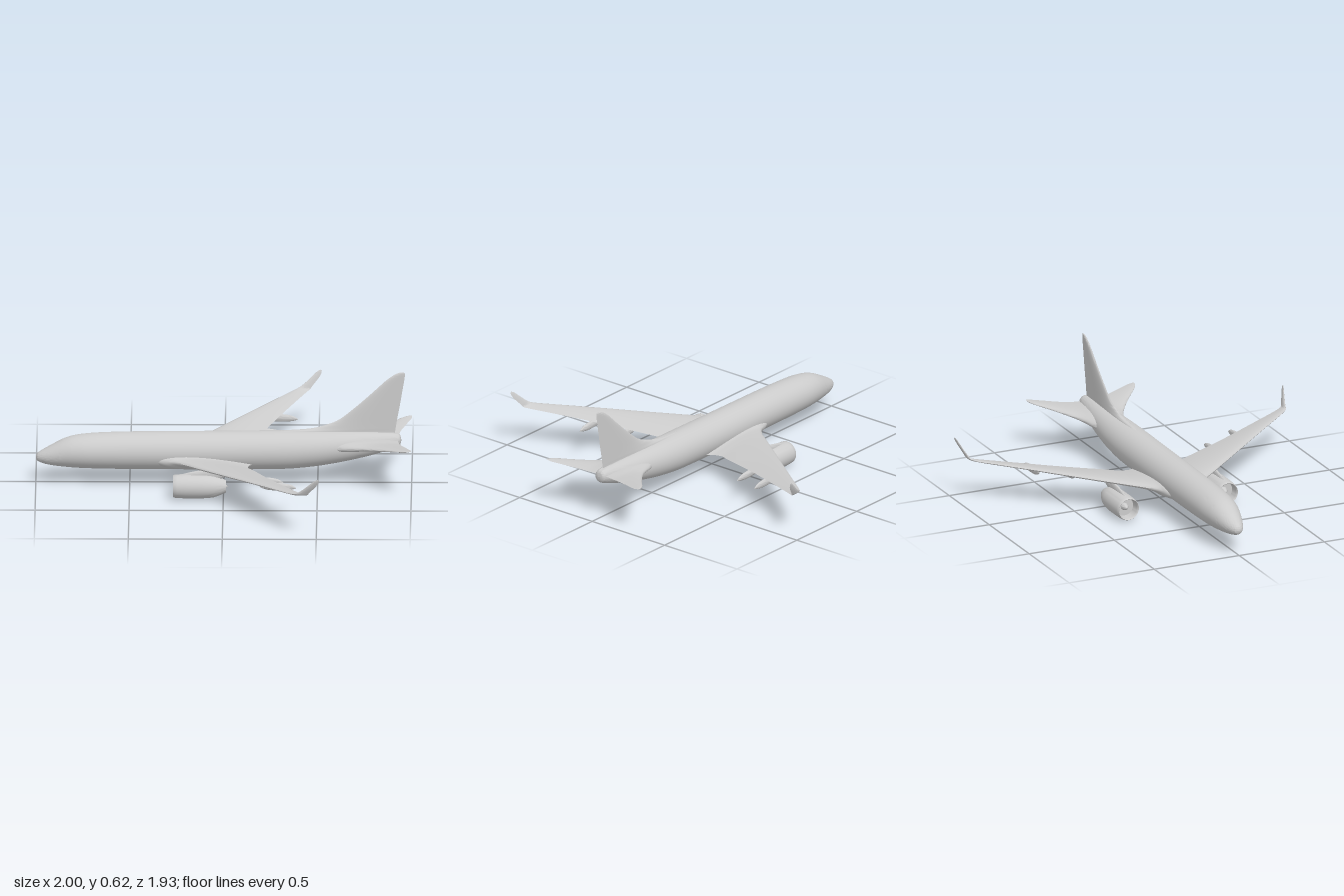
import * as THREE from 'three';
import { toCreasedNormals } from 'three/addons/utils/BufferGeometryUtils.js';

const material = new THREE.MeshStandardMaterial({ color: 0xcccccc, side: THREE.DoubleSide });

function mesh(name, geometry) {
  const m = new THREE.Mesh(geometry, material);
  m.name = name;
  return m;
}

// Monotone cubic refinement of a table of rows, column by column
function refine(rows, steps) {
  const slope = (i, k) => {
    const a = i > 0 ? rows[i][k] - rows[i - 1][k] : null;
    const b = i < rows.length - 1 ? rows[i + 1][k] - rows[i][k] : null;
    if (a === null) return b;
    if (b === null) return a;
    return a * b > 0 ? (2 * a * b) / (a + b) : 0;
  };
  const out = [];
  for (let i = 0; i < rows.length - 1; i++) {
    for (let s = 0; s < steps; s++) {
      const t = s / steps, t2 = t * t, t3 = t2 * t;
      out.push(rows[i].map((p, k) =>
        (2 * t3 - 3 * t2 + 1) * p + (t3 - 2 * t2 + t) * slope(i, k) +
        (3 * t2 - 2 * t3) * rows[i + 1][k] + (t3 - t2) * slope(i + 1, k)));
    }
  }
  out.push(rows[rows.length - 1]);
  return out;
}

// Skin a list of closed rings (arrays of Vector3), cap both ends, face outward
function loft(rings, crease = 0.9) {
  const n = rings[0].length, pts = rings.flat(), index = [];
  const centre = ring => ring.reduce((c, p) => c.add(p), new THREE.Vector3()).divideScalar(n);
  for (let i = 0; i < rings.length - 1; i++) {
    for (let j = 0; j < n; j++) {
      const a = i * n + j, b = i * n + (j + 1) % n;
      index.push(a, b, a + n, b, b + n, a + n);
    }
  }
  const first = pts.push(centre(rings[0])) - 1;
  const last = pts.push(centre(rings[rings.length - 1])) - 1;
  const base = (rings.length - 1) * n;
  for (let j = 0; j < n; j++) {
    const k = (j + 1) % n;
    index.push(first, k, j, last, base + j, base + k);
  }
  let volume = 0;
  const cross = new THREE.Vector3();
  for (let i = 0; i < index.length; i += 3) {
    volume += pts[index[i]].dot(cross.crossVectors(pts[index[i + 1]], pts[index[i + 2]]));
  }
  if (volume < 0) index.reverse();
  const geometry = new THREE.BufferGeometry().setFromPoints(pts);
  geometry.setIndex(index);
  return toCreasedNormals(geometry, crease);
}

// Flying surface; rows are [z, yLead, yTrail, xLead, xTrail, thickness, cant]
function airfoil(rows, side = 1, steps = 4) {
  const N = 28;
  return loft(refine(rows, steps).map(([z, yl, yt, xl, xt, th, cant]) => {
    const ring = [];
    for (let j = 0; j < N; j++) {
      const a = (j / N) * Math.PI * 2;
      const c = (1 - Math.cos(a)) / 2;
      const h = Math.sign(Math.sin(a)) * th * 1.3 * Math.sqrt(c) * (1 - c);
      ring.push(new THREE.Vector3(
        xl + (xt - xl) * c,
        yl + (yt - yl) * c + h * Math.cos(cant),
        side * (z - h * Math.sin(cant))));
    }
    return ring;
  }));
}

// Elliptical body along x; rows are [x, bottom, top, halfWidth]
function body(rows, z = 0, steps = 5, sides = 48) {
  return loft(refine(rows, steps).map(([x, lo, hi, w]) =>
    Array.from({ length: sides }, (_, j) => {
      const a = (j / sides) * Math.PI * 2;
      return new THREE.Vector3(x, (lo + hi) / 2 + (hi - lo) / 2 * Math.sin(a), z + w * Math.cos(a));
    })));
}

export function createModel() {
  const group = new THREE.Group();

  group.add(mesh('fuselage', body([
    [-1, 0.138, 0.142, 0.002], [-0.995, 0.123, 0.157, 0.017], [-0.98, 0.113, 0.17, 0.03],
    [-0.95, 0.103, 0.188, 0.046], [-0.9, 0.094, 0.216, 0.064], [-0.85, 0.089, 0.241, 0.078],
    [-0.8, 0.085, 0.257, 0.089], [-0.7, 0.081, 0.27, 0.1], [-0.5, 0.078, 0.278, 0.103],
    [0, 0.077, 0.283, 0.104], [0.3, 0.08, 0.287, 0.103], [0.45, 0.091, 0.288, 0.098],
    [0.6, 0.114, 0.288, 0.086], [0.75, 0.147, 0.286, 0.067], [0.85, 0.175, 0.282, 0.05],
    [0.92, 0.199, 0.277, 0.036], [0.938, 0.21, 0.268, 0.028], [0.945, 0.236, 0.242, 0.003],
  ])));

  // Fin with a long dorsal fairing, thickness turned sideways
  const fin = [
    [0.24, 0.2, 0.9, 0.05], [0.284, 0.27, 0.911, 0.036], [0.3, 0.45, 0.914, 0.028],
    [0.318, 0.53, 0.917, 0.024], [0.345, 0.602, 0.921, 0.021], [0.42, 0.7, 0.935, 0.018],
    [0.51, 0.8, 0.95, 0.015], [0.575, 0.87, 0.961, 0.012], [0.602, 0.908, 0.964, 0.009],
    [0.613, 0.932, 0.961, 0.005], [0.616, 0.948, 0.955, 0.001],
  ].map(([y, xl, xt, th]) => [0, y, y, xl, xt, th, Math.PI / 2]);
  group.add(mesh('verticalFin', airfoil(fin)));

  // Wing rows flare into the body at the root and turn up into the winglet
  const wing = [
    [0.05, 0.14, 0.125, -0.4, 0.17, 0.09, 0], [0.1, 0.142, 0.128, -0.34, 0.145, 0.07, 0],
    [0.125, 0.146, 0.131, -0.27, 0.133, 0.052, 0], [0.17, 0.151, 0.136, -0.215, 0.131, 0.043, 0],
    [0.25, 0.159, 0.145, -0.152, 0.162, 0.036, 0], [0.45, 0.179, 0.167, 0.006, 0.236, 0.027, 0],
    [0.7, 0.205, 0.195, 0.203, 0.343, 0.018, 0.05], [0.905, 0.225, 0.218, 0.365, 0.437, 0.011, 0.15],
    [0.925, 0.231, 0.223, 0.386, 0.45, 0.01, 0.7], [0.935, 0.25, 0.243, 0.417, 0.466, 0.009, 1.15],
    [0.954, 0.298, 0.286, 0.472, 0.502, 0.006, 1.2], [0.961, 0.315, 0.304, 0.492, 0.512, 0.004, 1.2],
    [0.965, 0.322, 0.317, 0.506, 0.514, 0.001, 1.2],
  ];

  // Tailplane rows with a rounded tip
  const tailplane = [
    [0.02, 0.2, 0.246, 0.52, 0.925, 0.07, 0], [0.07, 0.208, 0.246, 0.57, 0.93, 0.052, 0],
    [0.095, 0.213, 0.247, 0.63, 0.935, 0.04, 0], [0.125, 0.222, 0.25, 0.715, 0.942, 0.031, 0],
    [0.17, 0.234, 0.255, 0.787, 0.957, 0.024, 0], [0.24, 0.251, 0.264, 0.875, 0.982, 0.016, 0],
    [0.29, 0.263, 0.27, 0.932, 0.999, 0.011, 0], [0.31, 0.268, 0.273, 0.962, 1.0, 0.007, 0],
    [0.318, 0.272, 0.274, 0.984, 0.997, 0.002, 0],
  ];

  // Nacelle profile [radius, x]: spinner, fan face, lip, cowl, nozzle, plug
  const nacelle = [
    [0, -0.245], [0.009, -0.238], [0.016, -0.225], [0.02, -0.208], [0.052, -0.208],
    [0.053, -0.255], [0.055, -0.264], [0.058, -0.267], [0.061, -0.262], [0.063, -0.245],
    [0.065, -0.2], [0.065, -0.13], [0.063, -0.08], [0.058, -0.048], [0.045, -0.012],
    [0.033, 0.014], [0.029, 0.014], [0.027, -0.005], [0.014, -0.005], [0.009, 0.012], [0, 0.024],
  ].map(([r, x]) => new THREE.Vector2(r, x));

  for (const side of [1, -1]) {
    const label = side > 0 ? 'left' : 'right';
    const shift = -0.013;
    group.add(mesh(label + 'Wing', airfoil(wing, side)));
    group.add(mesh(label + 'Tailplane', airfoil(tailplane, side)));

    const engineZ = side * 0.291 + shift;
    const engine = new THREE.LatheGeometry(nacelle, 40).rotateZ(-Math.PI / 2);
    engine.translate(0, 0.066, engineZ);
    group.add(mesh(label + 'Engine', toCreasedNormals(engine, 0.7)));

    // Slim pylon between the nacelle and the wing
    group.add(mesh(label + 'Pylon', body([
      [-0.24, 0.122, 0.126, 0.001], [-0.21, 0.105, 0.136, 0.007], [-0.14, 0.1, 0.152, 0.011],
      [-0.05, 0.1, 0.162, 0.011], [0.03, 0.125, 0.16, 0.007], [0.1, 0.145, 0.15, 0.001],
    ], engineZ, 4, 20)));

    // Teardrop fairings under the trailing edge: [z, x, y]
    for (const [z, x, y] of [[0.426, 0.22, 0.139], [0.602, 0.29, 0.164]]) {
      group.add(mesh(label + 'FlapFairing', body([
        [x - 0.1, y + 0.009, y + 0.012, 0.001], [x - 0.085, y - 0.006, y + 0.02, 0.006],
        [x - 0.04, y - 0.019, y + 0.023, 0.011], [x + 0.02, y - 0.022, y + 0.02, 0.012],
        [x + 0.075, y - 0.017, y + 0.009, 0.007], [x + 0.1, y - 0.01, y - 0.007, 0.001],
      ], side * z + shift, 4, 20)));
    }
  }
  return group;
}
